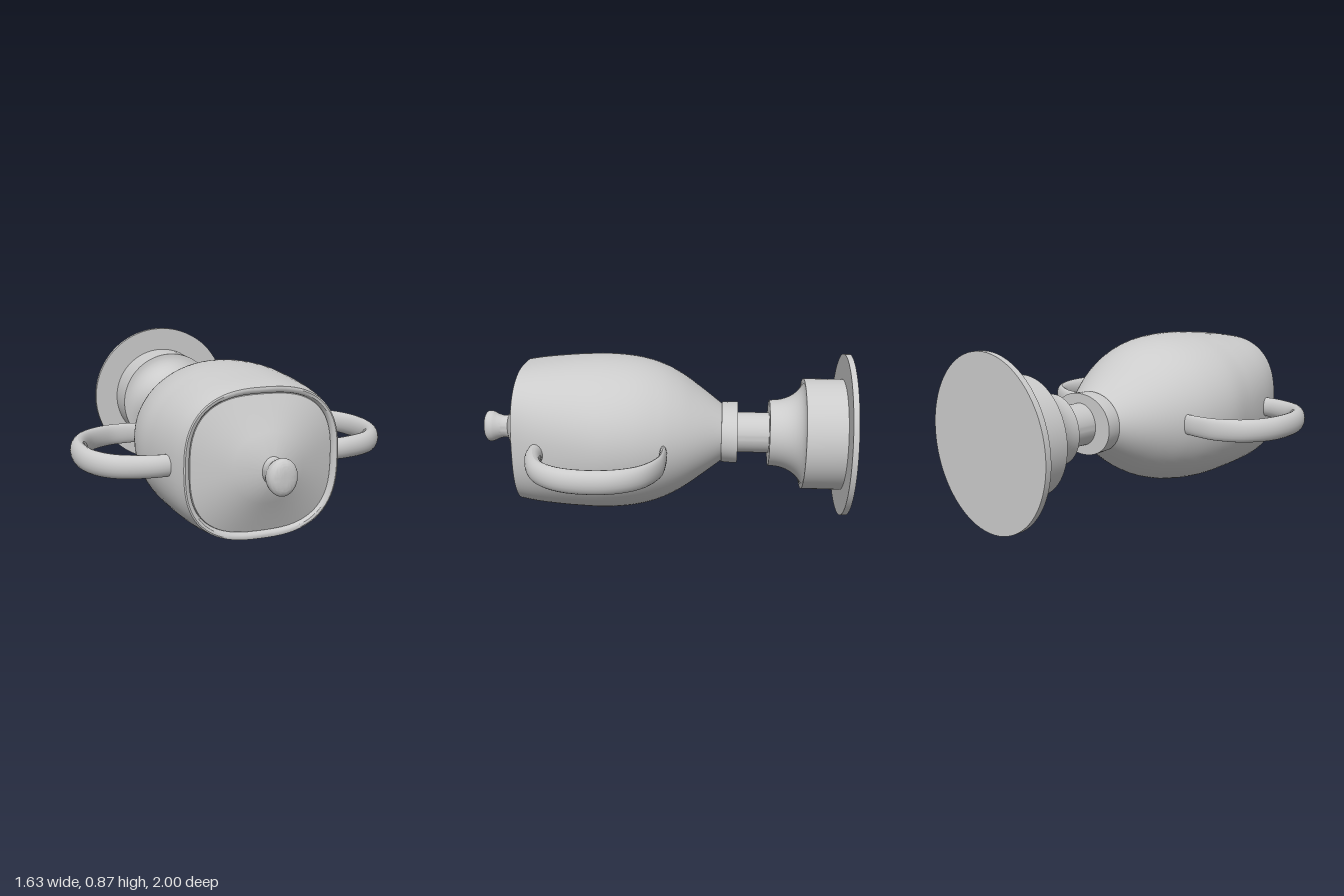
import * as THREE from 'three';
import { toCreasedNormals } from 'three/addons/utils/BufferGeometryUtils.js';

const AXIS_Y = 0.44;
const material = new THREE.MeshStandardMaterial({ color: 0xcccccc });

// Skin along z through superellipse sections [z, halfWidth, halfHeight, exponent]
function loft(sections, segments = 72, crease = 0.6) {
  const pos = [], index = [];
  sections.forEach(([z, a, b, n]) => {
    for (let j = 0; j < segments; j++) {
      const t = (j / segments) * Math.PI * 2, c = Math.cos(t), s = Math.sin(t);
      pos.push(a * Math.sign(c) * Math.abs(c) ** (2 / n), b * Math.sign(s) * Math.abs(s) ** (2 / n), z);
    }
  });
  for (let i = 0; i < sections.length - 1; i++) {
    for (let j = 0; j < segments; j++) {
      const k = (j + 1) % segments, p = i * segments, q = p + segments;
      index.push(p + j, p + k, q + k, p + j, q + k, q + j);
    }
  }
  const g = new THREE.BufferGeometry();
  g.setAttribute('position', new THREE.Float32BufferAttribute(pos, 3));
  g.setIndex(index);
  return toCreasedNormals(g, crease);
}

// Resample a few sections into a smooth run
function smooth(sections, steps) {
  const pts = sections.map(([z, a, b]) => new THREE.Vector3(z, a, b));
  const curve = new THREE.CatmullRomCurve3(pts, false, 'centripetal');
  const last = sections.length - 1;
  return Array.from({ length: steps + 1 }, (_, i) => {
    const t = i / steps, p = curve.getPoint(t);
    const k = Math.min(Math.floor(t * last), last - 1);
    return [p.x, p.y, p.z, THREE.MathUtils.lerp(sections[k][3], sections[k + 1][3], t * last - k)];
  });
}

// Round part turned about the z axis from [radius, z] points
function turned(points) {
  const g = new THREE.LatheGeometry(points.map(([r, z]) => new THREE.Vector2(r, z)), 72);
  return toCreasedNormals(g.rotateX(Math.PI / 2), 0.6);
}

// Flattened loop handle, thin at its far end and fuller near the mouth
function handleGeometry(side) {
  const path = [[0.36, -0.03], [0.46, -0.035], [0.57, -0.022], [0.7, 0.06], [0.768, 0.21], [0.755, 0.42],
    [0.665, 0.55], [0.5, 0.612], [0.36, 0.615]];
  const curve = new THREE.CatmullRomCurve3(path.map(([x, z]) => new THREE.Vector3(side * x, 0, z)));
  const rings = 72, radial = 20;
  const g = new THREE.TubeGeometry(curve, rings, 0.04, radial);
  const p = g.attributes.position, v = new THREE.Vector3();
  for (let i = 0; i <= rings; i++) {
    const t = i / rings, centre = curve.getPointAt(t);
    const width = 0.5 + 0.52 * THREE.MathUtils.smoothstep(t, 0.1, 0.45);
    const height = 1.3 + 0.2 * Math.sin(Math.PI * t);
    for (let j = 0; j <= radial; j++) {
      const k = i * (radial + 1) + j;
      v.fromBufferAttribute(p, k).sub(centre);
      p.setXYZ(k, centre.x + v.x * width, v.y * height, centre.z + v.z * width);
    }
  }
  g.computeVertexNormals();
  return g;
}

export function createModel() {
  const model = new THREE.Group();
  model.name = 'lyingTrophyCup';
  const add = (name, geometry) => {
    const mesh = new THREE.Mesh(geometry, material);
    mesh.name = name;
    mesh.position.y = AXIS_Y;
    model.add(mesh);
  };

  // Foot plate, drum with concave flare, and stem
  add('footPlate', turned([[0, -1], [0.437, -1], [0.437, -0.97], [0, -0.97]]));
  const flare = [];
  for (let i = 0; i <= 10; i++) {
    const t = (i / 10) * Math.PI / 2;
    flare.push([0.18 + 0.12 * (1 - Math.sin(t)), -0.59 - 0.17 * Math.cos(t)]);
  }
  add('pedestal', turned([[0.3, -0.975], ...flare, [0.18, -0.58], [0, -0.58]]));
  add('stem', turned([[0.11, -0.6], [0.11, -0.4]]));

  // Oval collar
  add('collar', loft([[-0.41, 0.001, 0.001, 2], [-0.41, 0.21, 0.16, 2.1], [-0.4, 0.21, 0.161, 2.1],
    [-0.325, 0.198, 0.158, 2.1], [-0.32, 0.001, 0.001, 2]]));

  // Cup body, round at the stem and squarish at the mouth
  add('body', loft(smooth([
    [-0.34, 0.18, 0.14, 2], [-0.2, 0.3, 0.245, 2], [-0.1, 0.368, 0.315, 2], [0, 0.42, 0.365, 2],
    [0.12, 0.46, 0.398, 2.05], [0.27, 0.48, 0.412, 2.1], [0.42, 0.465, 0.408, 2.2],
    [0.55, 0.445, 0.396, 2.35], [0.66, 0.42, 0.383, 2.5], [0.75, 0.39, 0.368, 2.65],
  ], 54)));

  // Mouth rim rolling inward to the lid groove
  add('rim', loft([[0.75, 0.39, 0.368, 2.65], [0.753, 0.383, 0.36, 2.68], [0.75, 0.37, 0.346, 2.75],
    [0.742, 0.362, 0.338, 2.8], [0.722, 0.358, 0.334, 2.8]]));

  // Conical lid
  add('lid', loft([[0.72, 0.362, 0.338, 2.8], [0.736, 0.356, 0.333, 2.8], [0.77, 0.27, 0.255, 2.5],
    [0.81, 0.175, 0.17, 2.2], [0.86, 0.055, 0.065, 2], [0.862, 0.001, 0.001, 2]]));

  // Knob
  add('knob', loft(smooth([
    [0.85, 0.052, 0.07, 2], [0.885, 0.054, 0.062, 2], [0.92, 0.064, 0.071, 2], [0.95, 0.073, 0.085, 2],
    [0.975, 0.069, 0.086, 2], [0.99, 0.055, 0.07, 2], [0.998, 0.03, 0.042, 2], [1, 0.001, 0.001, 2],
  ], 32), 40, 1));

  // Handles
  add('leftHandle', handleGeometry(1));
  add('rightHandle', handleGeometry(-1));

  return model;
}
